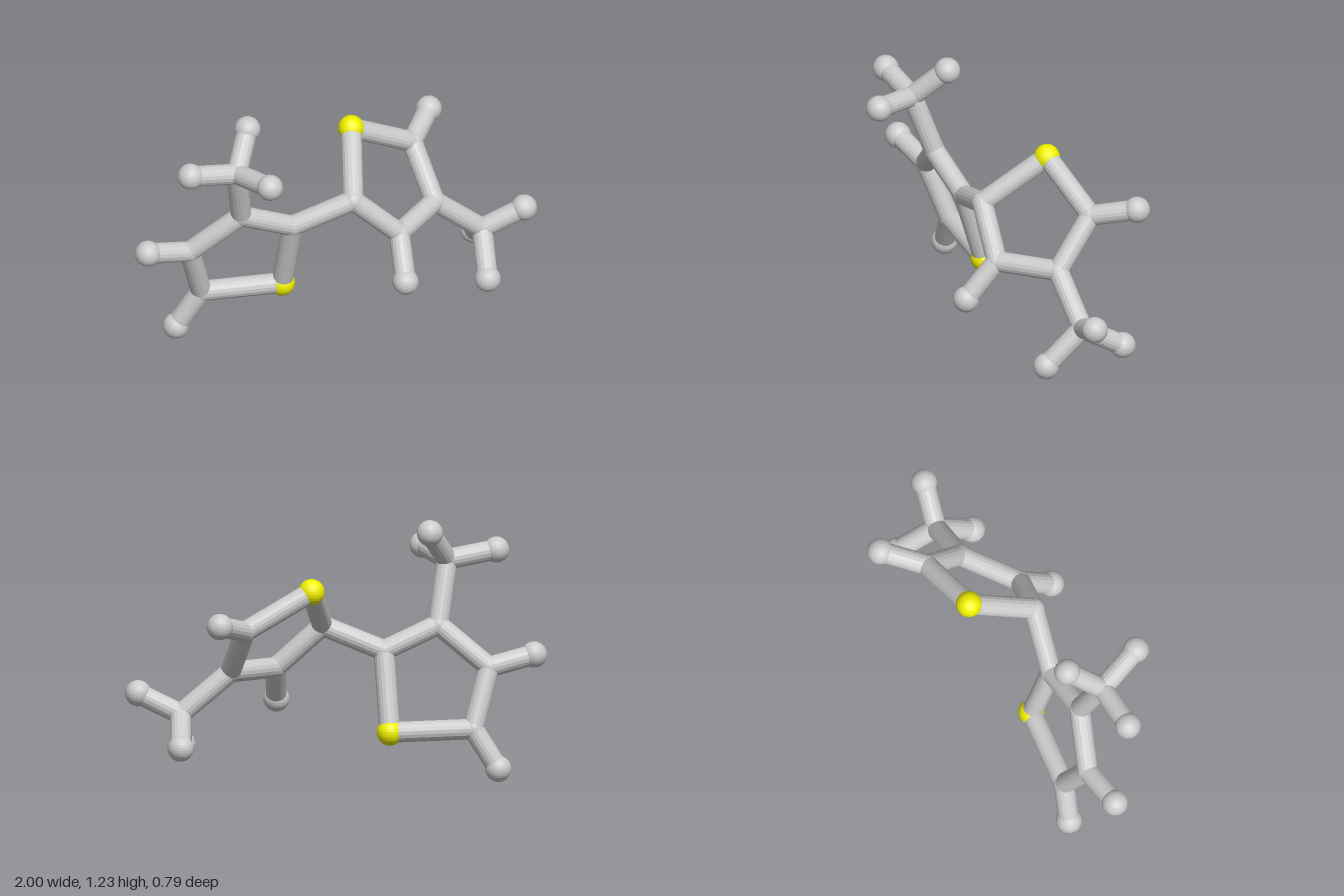
import * as THREE from 'three';

const ATOM_R = 0.062, JOINT_R = 0.051, BOND_R = 0.049;

const grey = new THREE.MeshStandardMaterial({ color: 0xcccccc, flatShading: true });
const yellow = new THREE.MeshStandardMaterial({ color: 0xf0f000, flatShading: true });

// Each half: a five-sided ring (sulfur last), side hydrogens and a methyl group
const halves = [
  {
    name: 'rightRing',
    ring: [[-0.24, 0.61, 0.03], [-0.5, 0.725, 0.015], [-0.72, 0.53, -0.09], [-0.625, 0.25, -0.16], [-0.24, 0.237, -0.082]],
    hydrogens: [[2, [-0.94, 0.58, -0.085]], [3, [-0.735, 0.063, -0.207]]],
    methyl: {
      from: 1, carbon: [-0.565, 1.02, 0.1],
      tips: [[-0.45, 1.17, -0.022], [-0.8, 1.06, 0.085], [-0.505, 1.055, 0.333]],
    },
  },
  {
    name: 'leftRing',
    ring: [[0.035, 0.725, 0.12], [0.245, 0.525, 0.185], [0.51, 0.54, 0.02], [0.49, 0.765, -0.182], [0.162, 0.937, -0.163]],
    hydrogens: [[1, [0.205, 0.35, 0.335]], [3, [0.652, 0.82, -0.335]]],
    methyl: {
      from: 2, carbon: [0.745, 0.345, 0.047],
      tips: [[0.935, 0.443, 0.11], [0.692, 0.173, 0.218], [0.795, 0.215, -0.15]],
    },
  },
];

function ball(name, position, radius, material = grey) {
  const mesh = new THREE.Mesh(new THREE.SphereGeometry(radius, 24, 16), material);
  mesh.name = name;
  mesh.position.set(...position);
  return mesh;
}

// Round rod between two points
function bond(name, a, b) {
  const start = new THREE.Vector3(...a), end = new THREE.Vector3(...b);
  const axis = end.clone().sub(start);
  const mesh = new THREE.Mesh(new THREE.CylinderGeometry(BOND_R, BOND_R, axis.length(), 18), grey);
  mesh.name = name;
  mesh.position.copy(start).add(end).multiplyScalar(0.5);
  mesh.quaternion.setFromUnitVectors(new THREE.Vector3(0, 1, 0), axis.normalize());
  return mesh;
}

function buildHalf({ name, ring, hydrogens, methyl }) {
  const group = new THREE.Group();
  group.name = name;

  // Ring atoms and the bonds around them
  ring.forEach((p, i) => {
    group.add(i === 4 ? ball('sulfurAtom', p, ATOM_R, yellow) : ball('carbonJoint', p, JOINT_R));
    group.add(bond('ringBond', p, ring[(i + 1) % 5]));
  });

  // Hydrogens attached to the ring
  for (const [i, p] of hydrogens) {
    group.add(bond('hydrogenBond', ring[i], p), ball('hydrogenAtom', p, ATOM_R));
  }

  // Methyl group with three hydrogens
  const branch = new THREE.Group();
  branch.name = 'methylGroup';
  branch.add(bond('methylBond', ring[methyl.from], methyl.carbon));
  branch.add(ball('carbonJoint', methyl.carbon, JOINT_R));
  for (const p of methyl.tips) {
    branch.add(bond('hydrogenBond', methyl.carbon, p), ball('hydrogenAtom', p, ATOM_R));
  }
  group.add(branch);
  return group;
}

export function createModel() {
  const model = new THREE.Group();
  model.name = 'molecule';
  halves.forEach((half) => model.add(buildHalf(half)));
  // Bond joining the two rings
  model.add(bond('linkBond', halves[0].ring[0], halves[1].ring[0]));
  return model;
}
